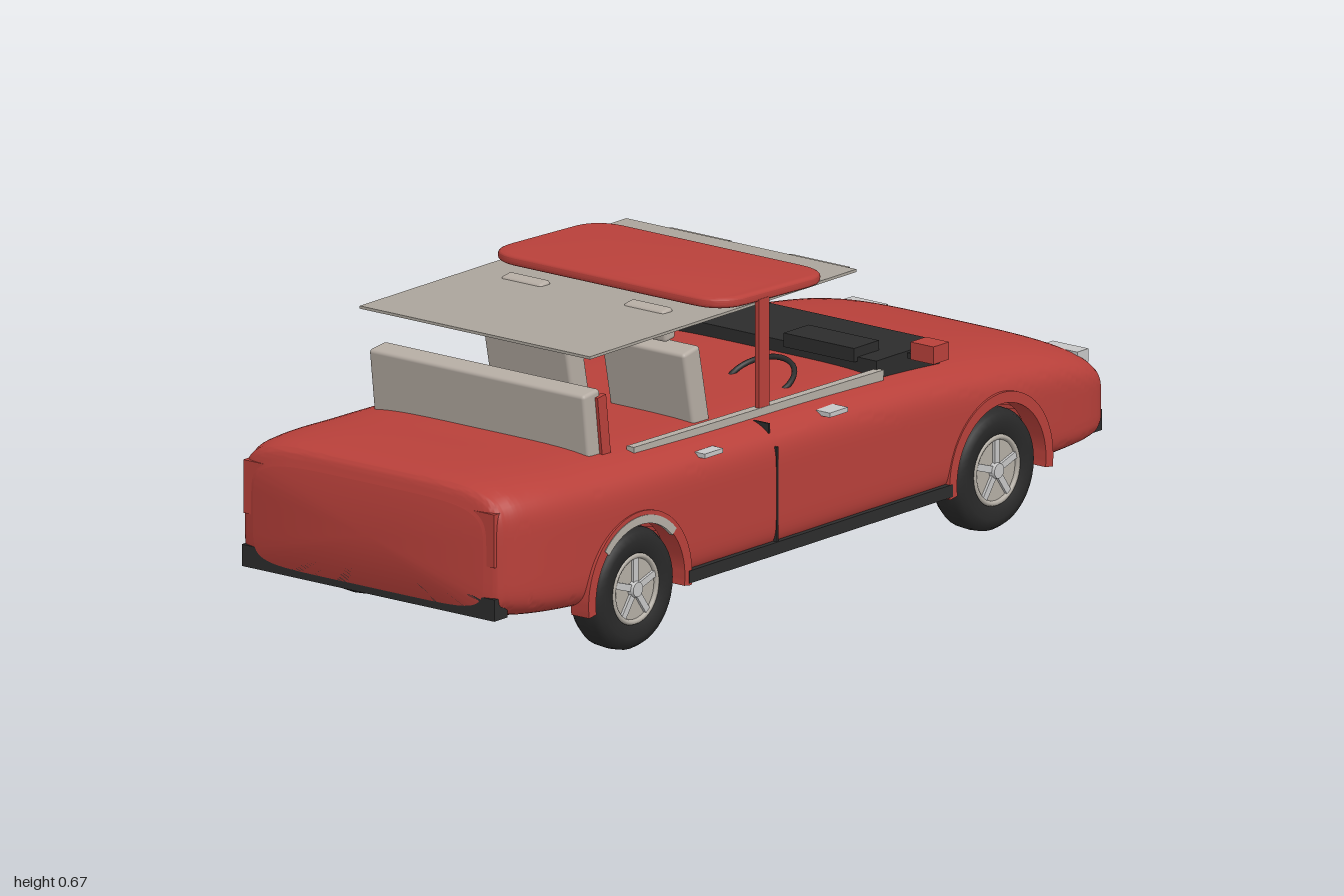
import * as THREE from 'three';
import { toCreasedNormals } from 'three/addons/utils/BufferGeometryUtils.js';
import { RoundedBoxGeometry } from 'three/addons/geometries/RoundedBoxGeometry.js';

const mat = (name, color, side = THREE.FrontSide) => {
  const m = new THREE.MeshStandardMaterial({ color, side });
  m.name = name;
  return m;
};
const paint = mat('red paint', 0xb8403a);
const trim = mat('black trim', 0x2c2c2c);
const rubber = mat('tyre rubber', 0x292929);
const fabric = mat('beige fabric', 0xb5aca3);
const lining = mat('roof lining', 0xaaa49b);
const metal = mat('rim metal', 0xb4aea5);
const lamp = mat('lamp silver', 0xc6c6c6);

const ARCHES = [[-0.585, 0.133], [0.6, 0.133]];
const ARCH_R = 0.155;

// Body stations: x, top, bottom, half width, shoulder exponent
const STATIONS = [
  [-1, 0.385, 0.16, 0.31, 5], [-0.992, 0.41, 0.145, 0.335, 5], [-0.965, 0.424, 0.138, 0.352, 5],
  [-0.9, 0.431, 0.127, 0.372, 4.6], [-0.7, 0.425, 0.11, 0.387, 4.6], [-0.3, 0.41, 0.105, 0.391, 5],
  [0.1, 0.403, 0.105, 0.391, 5], [0.45, 0.39, 0.105, 0.39, 4.6], [0.7, 0.37, 0.105, 0.387, 4],
  [0.85, 0.344, 0.107, 0.38, 4], [0.93, 0.319, 0.112, 0.37, 4], [0.97, 0.298, 0.118, 0.355, 4],
  [0.988, 0.28, 0.127, 0.338, 4], [0.996, 0.255, 0.145, 0.31, 4],
];

function bodyGeometry() {
  const curve = new THREE.CubicInterpolant(STATIONS.map(s => s[0]), STATIONS.flatMap(s => s.slice(1)), 4);
  const side = 30, ring = side * 4, rows = 260, pos = [], idx = [];
  // evenly spaced points around a square, later rounded to each section
  const square = [];
  for (let k = 0; k < side; k++) square.push([1, -1 + 2 * k / side]);
  for (let k = 0; k < side; k++) square.push([1 - 2 * k / side, 1]);
  for (let k = 0; k < side; k++) square.push([-1, 1 - 2 * k / side]);
  for (let k = 0; k < side; k++) square.push([-1 + 2 * k / side, -1]);
  for (let i = 0; i <= rows; i++) {
    const t = -1 + 2 * i / rows;
    const x = THREE.MathUtils.clamp(1.5 * t - 0.5 * t ** 3, -1, 0.996);
    const [top, bottom, half, n] = curve.evaluate(x);
    const mid = (top + bottom) / 2, h = (top - bottom) / 2;
    for (const [u, v] of square) {
      const e = v < 0 ? 7 : n;
      const f = 1 / (Math.abs(u) ** e + Math.abs(v) ** e) ** (1 / e);
      const y = mid + v * f * h;
      let z = u * f * half;
      // push the skin inwards to form the wheel wells
      for (const [ax, ay] of ARCHES) {
        if (Math.hypot(x - ax, y - ay) < ARCH_R) z = THREE.MathUtils.clamp(z, -0.28, 0.28);
      }
      pos.push(x, y, z);
    }
  }
  for (let i = 0; i < rows; i++) {
    for (let j = 0; j < ring; j++) {
      const k = (j + 1) % ring, a = i * ring + j, d = i * ring + k;
      idx.push(a, a + ring, d + ring, a, d + ring, d);
    }
  }
  // end caps
  const rear = pos.length / 3, front = rear + 1, last = rows * ring;
  pos.push(-1, 0.27, 0, 0.998, 0.2, 0);
  for (let j = 0; j < ring; j++) {
    const k = (j + 1) % ring;
    idx.push(rear, j, k, front, last + k, last + j);
  }
  const g = new THREE.BufferGeometry();
  g.setAttribute('position', new THREE.Float32BufferAttribute(pos, 3));
  g.setIndex(idx);
  return toCreasedNormals(g, 0.7);
}

export function createModel() {
  const car = new THREE.Group();
  car.name = 'car';
  const add = (name, geo, material, x = 0, y = 0, z = 0, parent = car) => {
    const m = new THREE.Mesh(geo, material);
    m.name = name;
    m.position.set(x, y, z);
    parent.add(m);
    return m;
  };
  // box given by its limits on each axis
  const box = (name, material, [x0, x1], [y0, y1], [z0, z1], tilt = 0) => {
    const m = add(name, new THREE.BoxGeometry(x1 - x0, y1 - y0, Math.abs(z1 - z0)), material,
      (x0 + x1) / 2, (y0 + y1) / 2, (z0 + z1) / 2);
    m.rotation.z = tilt;
    return m;
  };
  const cushion = (name, w, h, d, x, y, z, tilt) => {
    add(name, new RoundedBoxGeometry(w, h, d, 2, 0.008), fabric, x, y, z).rotation.z = tilt;
  };

  add('body', bodyGeometry(), paint);

  // Roof panel, gently domed
  const rs = new THREE.Shape(), a = 0.172, b = 0.308, r = 0.07;
  rs.moveTo(-a + r, -b).lineTo(a - r, -b).quadraticCurveTo(a, -b, a, -b + r)
    .lineTo(a, b - r).quadraticCurveTo(a, b, a - r, b)
    .lineTo(-a + r, b).quadraticCurveTo(-a, b, -a, b - r)
    .lineTo(-a, -b + r).quadraticCurveTo(-a, -b, -a + r, -b);
  const roofGeo = new THREE.ExtrudeGeometry(rs, {
    depth: 0.004, bevelThickness: 0.01, bevelSize: 0.013, bevelSegments: 4, curveSegments: 10,
  }).rotateX(-Math.PI / 2);
  add('roof', toCreasedNormals(roofGeo, 0.7), paint, -0.045, 0.646, 0).rotation.z = -0.035;
  box('roofLining', lining, [-0.65, 0.225], [0.631, 0.637], [-0.31, 0.31]);

  // Cabin
  box('dashboard', trim, [0.29, 0.497], [0.37, 0.424], [-0.31, 0.31]);
  box('instrumentHood', trim, [0.278, 0.36], [0.415, 0.445], [0.07, 0.26]);
  box('innerMirror', trim, [0.22, 0.236], [0.586, 0.612], [-0.048, 0.048]);
  const wheelRim = add('steeringWheel', new THREE.TorusGeometry(0.075, 0.006, 8, 32), trim, 0.085, 0.403, 0.165);
  wheelRim.rotation.set(Math.PI / 2, -0.46, 0);
  wheelRim.rotation.order = 'ZXY';
  wheelRim.rotation.set(Math.PI / 2, 0, 0.46);
  cushion('rearSeatBack', 0.055, 0.2, 0.58, -0.607, 0.45, 0, 0.12);
  for (const s of [1, -1]) {
    cushion('frontSeatBack', 0.055, 0.2, 0.225, -0.252, 0.465, s * 0.162, 0.2);
    cushion('headrest', 0.035, 0.07, 0.11, -0.278, 0.609, s * 0.165, 0.15);
    box('sunVisor', lining, [0.205, 0.29], [0.616, 0.623], [s * 0.08, s * 0.24], -0.18);
    box('rearPillarStub', paint, [-0.6, -0.572], [0.39, 0.538], [s * 0.284, s * 0.297], 0.12);
    box('centrePillar', paint, [-0.108, -0.073], [0.38, 0.645], [s * 0.31, s * 0.321]);
    box('beltTrim', metal, [-0.52, 0.3], [0.385, 0.41], [s * 0.302, s * 0.322], -0.012);

    // Doors and sides
    box('doorSeam', trim, [-0.137, -0.132], [0.14, 0.345], [s * 0.384, s * 0.3925]);
    box('doorSeamTop', trim, [-0.137, -0.132], [0.34, 0.392], [s * 0.325, s * 0.37]);
    for (const x of [-0.34, 0.07]) box('doorHandle', lamp, [x - 0.03, x + 0.03], [0.37, 0.38], [s * 0.345, s * 0.39]);
    box('sill', trim, [-0.425, 0.44], [0.113, 0.14], [s * 0.36, s * 0.394]);
    box('mirrorStalk', trim, [0.34, 0.36], [0.427, 0.439], [s * 0.352, s * 0.39]);
    box('mirrorHousing', paint, [0.323, 0.374], [0.432, 0.47], [s * 0.375, s * 0.437]);

    // Lamps and bumper corners
    box('headlight', lamp, [0.94, 0.977], [0.276, 0.304], [s * 0.222, s * 0.318]);
    box('tailLight', paint, [-0.998, -0.97], [0.26, 0.375], [s * 0.24, s * 0.338]);
    box('frontBumperCorner', trim, [0.95, 0.997], [0.127, 0.172], [s * 0.268, s * 0.338]);

    // Wheel arch lips
    for (const [x, y] of ARCHES) {
      const lip = (name, r0, r1, z, depth, material, from) => {
        const sh = new THREE.Shape();
        sh.absarc(0, 0, r1, from, Math.PI - from, false);
        sh.absarc(0, 0, r0, Math.PI - from, from, true);
        const g = new THREE.ExtrudeGeometry(sh, { depth, bevelEnabled: false, curveSegments: 32 });
        add(name, toCreasedNormals(g, 0.6), material, x, y, s > 0 ? z : -z - depth);
      };
      lip('archLip', 0.146, 0.17, 0.345, 0.048, paint, -0.15);
      if (x < 0) lip('archTrim', 0.142, 0.16, 0.385, 0.0095, metal, 0.75);
    }
  }

  // Front and rear trim
  box('grille', trim, [0.96, 1], [0.244, 0.259], [-0.139, 0.139]);
  box('grilleBar', lamp, [0.96, 0.999], [0.259, 0.264], [-0.138, 0.138]);
  box('lowerStrip', lamp, [0.96, 1], [0.14, 0.151], [-0.112, 0.112]);
  box('frontBumperLip', trim, [0.95, 0.992], [0.126, 0.132], [-0.3, 0.3]);
  box('rearBumper', trim, [-1, -0.957], [0.145, 0.192], [-0.34, 0.34]);

  // Wheels
  const tyreProfile = [[0.078, -0.04], [0.105, -0.043], [0.122, -0.038], [0.131, -0.024], [0.133, 0],
    [0.131, 0.024], [0.122, 0.038], [0.105, 0.043], [0.078, 0.04], [0.074, 0.03]].map(p => new THREE.Vector2(...p));
  const tyreGeo = new THREE.LatheGeometry(tyreProfile, 40).rotateX(Math.PI / 2);
  const discGeo = new THREE.CylinderGeometry(0.078, 0.078, 0.066, 32).rotateX(Math.PI / 2);
  const ringGeo = new THREE.TorusGeometry(0.071, 0.006, 8, 40);
  const hubGeo = new THREE.CylinderGeometry(0.016, 0.02, 0.014, 16).rotateX(Math.PI / 2);
  const spokeGeo = new THREE.BoxGeometry(0.055, 0.015, 0.008).translate(0.04, 0, 0);
  for (const [x, y] of ARCHES) {
    for (const s of [1, -1]) {
      const wheel = new THREE.Group();
      wheel.name = 'wheel';
      wheel.position.set(x, y, s * 0.342);
      if (s < 0) wheel.rotation.y = Math.PI;
      add('tyre', tyreGeo, rubber, 0, 0, 0, wheel);
      add('rimDisc', discGeo, metal, 0, 0, 0, wheel);
      add('rimRing', ringGeo, metal, 0, 0, 0.035, wheel);
      add('hub', hubGeo, lamp, 0, 0, 0.038, wheel);
      for (let k = 0; k < 5; k++) {
        add('spoke', spokeGeo, lamp, 0, 0, 0.035, wheel).rotation.z = Math.PI / 2 + k * Math.PI * 0.4;
      }
      car.add(wheel);
    }
  }
  return car;
}
